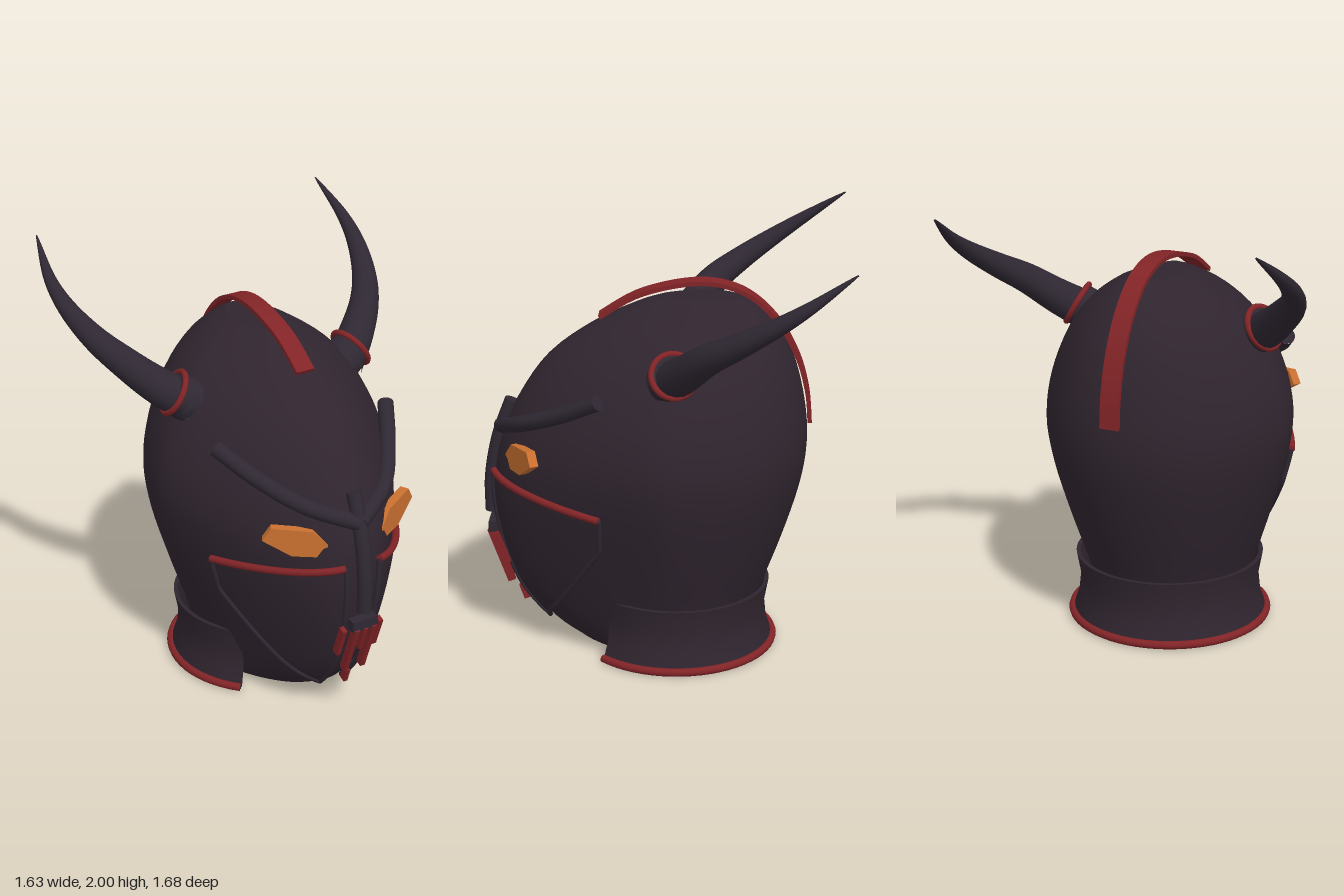
import * as THREE from 'three';
import { toCreasedNormals } from 'three/addons/utils/BufferGeometryUtils.js';

const V = (x, y, z) => new THREE.Vector3(x, y, z);

// Shell sections, bottom to top: y, half width, centre z, front z, back z
const SECTIONS = [
  [0.03, 0.33, 0, 0.40, -0.37], [0.12, 0.35, 0, 0.53, -0.41], [0.3, 0.40, 0, 0.67, -0.47],
  [0.55, 0.48, 0, 0.755, -0.56], [0.8, 0.55, 0, 0.785, -0.635], [1.0, 0.575, 0, 0.755, -0.665],
  [1.2, 0.54, -0.01, 0.67, -0.65], [1.4, 0.45, -0.04, 0.53, -0.60], [1.55, 0.33, -0.09, 0.33, -0.52],
  [1.65, 0.19, -0.15, 0.13, -0.42], [1.69, 0.1, -0.18, 0.02, -0.35],
];
const widths = new THREE.CatmullRomCurve3(SECTIONS.map(s => V(s[1], s[0], s[2])), false, 'catmullrom', 0.5);
const depths = new THREE.CatmullRomCurve3(SECTIONS.map(s => V(s[3], s[0], s[4])), false, 'catmullrom', 0.5);

// Point on the shell: egg-shaped section, rounded behind and tapering to a ridge in front
function shellPoint(u, t, off = 0) {
  const a = widths.getPoint(u), b = depths.getPoint(u);
  const s = Math.sin(t), c = Math.cos(t);
  const x = (a.x + off) * c * (1 - 0.3 * Math.max(s, 0));
  const z = a.z + s * (s > 0 ? b.x - a.z + off : a.z - b.z + off);
  return V(x, a.y, z);
}

function paramAt(y) {
  let lo = 0, hi = 1;
  for (let i = 0; i < 24; i++) {
    const m = (lo + hi) / 2;
    if (widths.getPoint(m).y < y) lo = m; else hi = m;
  }
  return lo;
}

// Surface from rows x columns of points
function grid(rows, cols, point, wrap) {
  const pos = [], idx = [], n = wrap ? cols : cols + 1;
  for (let i = 0; i <= rows; i++)
    for (let j = 0; j < n; j++) pos.push(...point(i / rows, j / cols).toArray());
  for (let i = 0; i < rows; i++)
    for (let j = 0; j < cols; j++) {
      const a = i * n + j, b = i * n + (j + 1) % n;
      idx.push(a, a + n, b, b, a + n, b + n);
    }
  const g = new THREE.BufferGeometry();
  g.setAttribute('position', new THREE.Float32BufferAttribute(pos, 3));
  g.setIndex(idx);
  g.computeVertexNormals();
  return g;
}

export function createModel() {
  const mat = (name, color, side = THREE.FrontSide) => {
    const m = new THREE.MeshStandardMaterial({ color, side });
    m.name = name;
    return m;
  };
  const dark = mat('dark plum', 0x30252f, THREE.DoubleSide);
  const trim = mat('dark trim', 0x2f2833);
  const red = mat('deep red', 0x822427);
  const orange = mat('eye orange', 0xca7030);

  const model = new THREE.Group();
  model.name = 'hornedHelmet';
  const add = (parent, name, geo, m) => {
    const mesh = new THREE.Mesh(geo, m);
    mesh.name = name;
    parent.add(mesh);
    return mesh;
  };
  // Round bar along points, with closed ends
  const bar = (parent, name, pts, r, m, sides = 12) => {
    const curve = new THREE.CatmullRomCurve3(pts);
    add(parent, name, new THREE.TubeGeometry(curve, 24, r, sides), m);
    for (const u of [0, 1]) {
      const cap = add(parent, name + 'End', new THREE.CircleGeometry(r, sides), m);
      cap.position.copy(curve.getPointAt(u));
      const dir = curve.getTangentAt(u).multiplyScalar(u ? 1 : -1);
      cap.quaternion.setFromUnitVectors(V(0, 0, 1), dir);
    }
  };

  // Shell with flat top and base
  const TAU = Math.PI * 2;
  add(model, 'shell', grid(40, 64, (u, v) => shellPoint(u, v * TAU), true), dark);
  add(model, 'shellTop', grid(1, 64, (u, v) => shellPoint(1, v * TAU).lerp(V(0, 1.69, -0.17), u), true), dark);
  add(model, 'shellBase', grid(1, 64, (u, v) => V(0, 0.03, 0).lerp(shellPoint(0, v * TAU), u), true), dark);

  // Neck collar, open at the front
  const collarProfile = [[0.46, 0.01], [0.43, 0.1], [0.42, 0.2], [0.44, 0.31], [0.42, 0.31], [0.4, 0.2], [0.41, 0.1], [0.44, 0.01]];
  const collar = new THREE.LatheGeometry(collarProfile.map(p => new THREE.Vector2(...p)), 48, Math.PI / 4, Math.PI * 1.5);
  add(model, 'neckCollar', toCreasedNormals(collar, 0.7), dark).position.z = -0.06;
  const rim = new THREE.TorusGeometry(0.46, 0.019, 10, 48, Math.PI * 1.5);
  rim.rotateZ(Math.PI * 0.75).rotateX(Math.PI / 2);
  add(model, 'collarRim', rim, red).position.set(0, 0.02, -0.06);

  // Crest band over the crown
  const crestLine = new THREE.SplineCurve([[0.29, 1.59], [0.1, 1.7], [-0.16, 1.755], [-0.36, 1.715], [-0.51, 1.59],
    [-0.61, 1.42], [-0.66, 1.25], [-0.675, 1.1]].map(p => new THREE.Vector2(...p)));
  const crestEdge = off => Array.from({ length: 41 }, (_, i) => {
    const p = crestLine.getPoint(i / 40), d = crestLine.getTangent(i / 40);
    return new THREE.Vector2(p.x + d.y * off, p.y - d.x * off);
  });
  const crestShape = new THREE.Shape([...crestEdge(-0.01), ...crestEdge(0.01).reverse()]);
  const crestGeo = new THREE.ExtrudeGeometry(crestShape, { depth: 0.09, bevelEnabled: false });
  crestGeo.rotateY(-Math.PI / 2).translate(0.045, 0, 0);
  add(model, 'crestBand', toCreasedNormals(crestGeo, 0.5), red);

  // Nose guard and mouth bridge
  bar(model, 'noseGuard', [V(0, 1.18, 0.70), V(0, 1.0, 0.765), V(0, 0.8, 0.803), V(0, 0.63, 0.805)], 0.035, trim);
  add(model, 'mouthBridge', new THREE.BoxGeometry(0.13, 0.05, 0.05), trim).position.set(0, 0.565, 0.795);

  // Mouth vents
  const vent = (x, top, bottom, w, z = 0) => {
    const a = V(x, top, 0.81 - (0.55 - top) * 0.36 + z), b = V(x, bottom, 0.81 - (0.55 - bottom) * 0.36 + z);
    const m = add(model, 'mouthVent', new THREE.BoxGeometry(w, a.distanceTo(b), 0.035), red);
    m.position.copy(a).lerp(b, 0.5);
    m.rotation.x = Math.atan2(a.z - b.z, a.y - b.y);
  };
  for (const s of [-1, 1]) {
    vent(s * 0.095, 0.55, 0.4, 0.022, -0.025);
    vent(s * 0.045, 0.55, 0.29, 0.025);
  }
  vent(0, 0.55, 0.42, 0.018);
  vent(0, 0.25, 0.18, 0.02, -0.03);

  // Cheek plate: inner edge beside the mouth, outer edge sloping to the chin
  const cheekPoint = (v, w) => {
    const yIn = 0.86 - 0.74 * v;
    const yOut = v < 0.25 ? 0.77 - 0.68 * v : 0.6 - 0.48 * (v - 0.25) / 0.75;
    const zOut = v < 0.25 ? 0.27 : 0.27 + 0.29 * (v - 0.25) / 0.75;
    const uIn = paramAt(yIn), uOut = paramAt(yOut);
    const tIn = Math.acos((0.085 - 0.03 * v) / (0.71 * widths.getPoint(uIn).x));
    const tOut = Math.min(tIn, Math.asin(Math.min(1, zOut / (depths.getPoint(uOut).x + 0.02))));
    return shellPoint(uIn + (uOut - uIn) * w, tIn + (tOut - tIn) * w, 0.02);
  };
  const edge = f => Array.from({ length: 13 }, (_, i) => f(i / 12));

  // Paired parts, built on the left and mirrored
  for (const s of [1, -1]) {
    const side = new THREE.Group();
    side.name = s > 0 ? 'leftSide' : 'rightSide';
    side.scale.x = s;
    model.add(side);

    // Tapered horn with its socket and ring
    const path = new THREE.CatmullRomCurve3([V(0.4, 1.4, -0.03), V(0.53, 1.49, -0.12), V(0.64, 1.59, -0.22),
      V(0.715, 1.67, -0.34), V(0.77, 1.77, -0.5), V(0.782, 1.86, -0.64), V(0.748, 1.998, -0.842)]);
    const horn = new THREE.TubeGeometry(path, 36, 1, 16);
    const pos = horn.attributes.position, p = V();
    for (let i = 0; i < pos.count; i++) {
      const u = Math.floor(i / 17) / 36, c = path.getPointAt(u);
      p.fromBufferAttribute(pos, i).sub(c).multiplyScalar(0.093 * (1 - u) ** 0.85 + 0.003).add(c);
      pos.setXYZ(i, p.x, p.y, p.z);
    }
    add(side, 'horn', horn, trim);
    const axis = V(0.83, 0.5, -0.22).normalize();
    const socket = add(side, 'hornSocket', new THREE.CylinderGeometry(0.095, 0.1, 0.12, 24), trim);
    socket.position.set(0.425, 1.43, -0.05);
    socket.quaternion.setFromUnitVectors(V(0, 1, 0), axis);
    const ring = add(side, 'hornRing', new THREE.TorusGeometry(0.1, 0.014, 8, 28), red);
    ring.position.set(0.468, 1.457, -0.066);
    ring.quaternion.setFromUnitVectors(V(0, 0, 1), axis);

    // Brow ridge
    bar(side, 'browRidge', [V(0, 1.05, 0.755), V(0.2, 1.13, 0.635), V(0.34, 1.22, 0.45), V(0.445, 1.32, 0.27)], 0.037, trim);

    // Angled eye slab
    const outline = [[0.14, 0.9], [0.14, 0.965], [0.2, 1.03], [0.36, 1.05], [0.395, 0.99], [0.28, 0.91]];
    const eyeShape = new THREE.Shape(outline.map(([x, y]) => new THREE.Vector2((x - 0.265) * 1.13, y - 0.975)));
    const eye = add(side, 'eye', new THREE.ExtrudeGeometry(eyeShape, { depth: 0.042, bevelEnabled: false }).translate(0, 0, -0.042), orange);
    eye.position.set(0.265, 0.975, 0.652);
    eye.rotation.y = Math.PI * 0.16;

    // Cheek plate with trims
    add(side, 'cheekPlate', grid(24, 16, cheekPoint), dark);
    bar(side, 'cheekInnerTrim', edge(v => cheekPoint(v, 0)), 0.012, trim, 8);
    bar(side, 'cheekOuterTrim', edge(v => cheekPoint(v, 1)), 0.012, trim, 8);
    bar(side, 'cheekTopTrim', edge(w => cheekPoint(0, w)), 0.017, red, 8);
  }
  return model;
}
